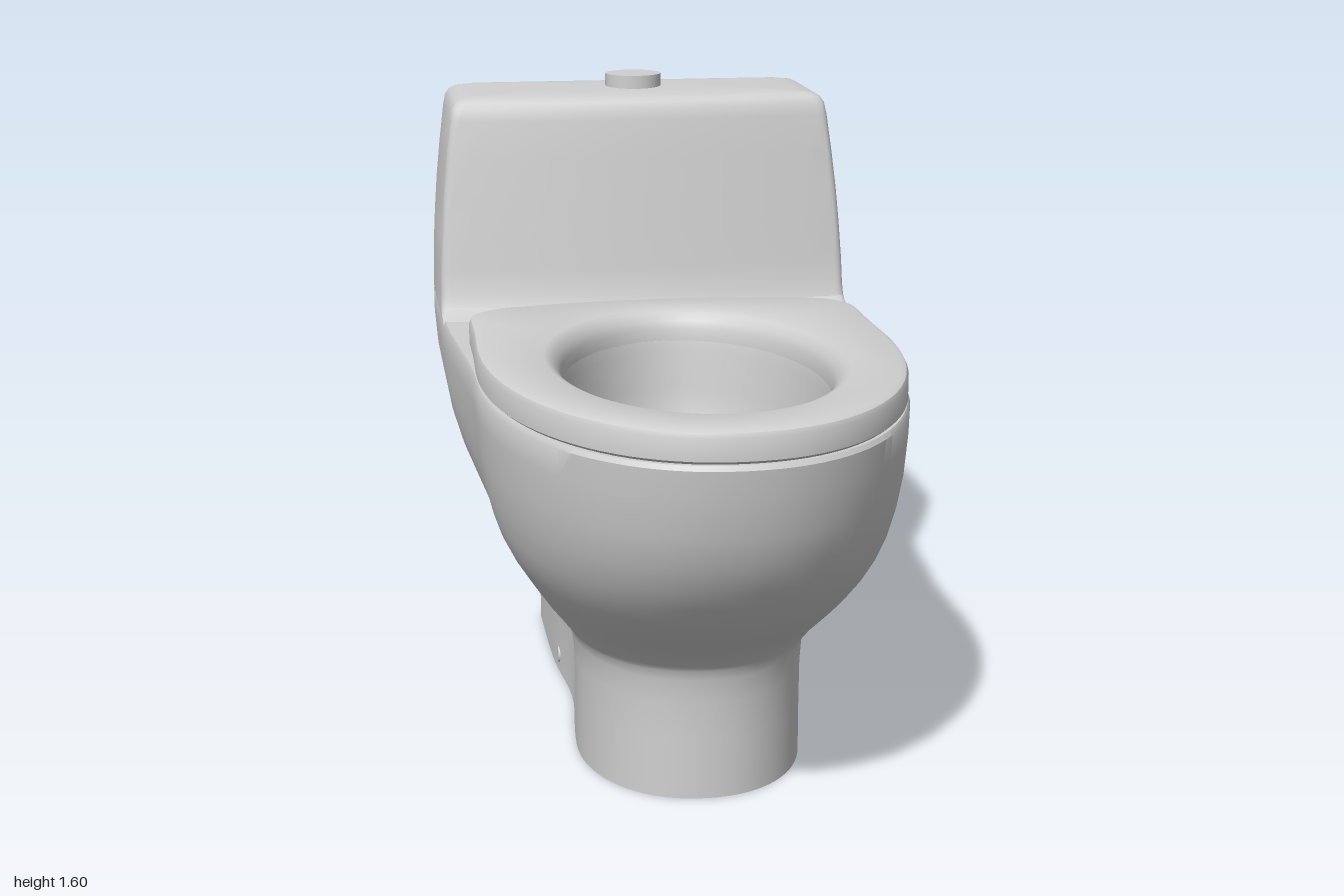
import * as THREE from 'three';
import { toCreasedNormals } from 'three/addons/utils/BufferGeometryUtils.js';

const ceramic = new THREE.MeshStandardMaterial({ color: 0xd0d0d0 });
ceramic.name = 'ceramic';

// Mirror a half outline (front centre -> +x side -> back centre) into a full ring
const mirror = (half) => half.concat(half.slice(1, -1).reverse().map(([x, z]) => [-x, z]));

// Plan outline: full rounded nose, straight sides, rounded back corners
function plan({ w, wf = w, f, b, r = 0.025, pinch = 0, bow = 0, zc = 0.18 }) {
  const half = [];
  for (let k = 0; k <= 24; k++) {
    const a = (k / 24) * Math.PI / 2;
    const c = k < 24 ? Math.cos(a) : 0;
    half.push([wf * Math.sin(a) ** 0.94, zc + (f - zc) * c ** 0.94]);
  }
  for (let k = 1; k <= 18; k++) {
    const u = k / 18;
    half.push([THREE.MathUtils.lerp(wf, w, THREE.MathUtils.smoothstep(u * 1.6, 0, 1)), zc + (b + r - zc) * u]);
  }
  for (let k = 1; k <= 6; k++) {
    const a = (k / 6) * Math.PI / 2;
    half.push([w - r + r * Math.cos(a), b + r - r * Math.sin(a)]);
  }
  for (let k = 1; k <= 8; k++) {
    const x = (w - r) * (1 - k / 8);
    half.push([x, b - bow * (1 - (x / (w - r)) ** 2)]);
  }
  // waist in the pedestal sides
  for (const p of half) if (p[1] < 0.4) p[0] -= pinch * Math.exp(-(((p[1] + 0.13) / 0.2) ** 2)) * Math.sign(p[0]);
  return mirror(half);
}

// Tank outline: front bowed forward, all corners rounded
function tankPlan(w, f, b, r = 0.025) {
  const half = [];
  for (let k = 0; k <= 10; k++) {
    const x = (w - r) * k / 10;
    half.push([x, f - 0.04 * (k / 10) ** 2]);
  }
  for (let k = 1; k <= 5; k++) {
    const a = (k / 5) * Math.PI / 2;
    half.push([w - r + r * Math.sin(a), f - 0.04 - r + r * Math.cos(a)]);
  }
  for (let k = 0; k <= 5; k++) {
    const a = (k / 5) * Math.PI / 2;
    half.push([w - r + r * Math.cos(a), b + r - r * Math.sin(a)]);
  }
  half.push([(w - r) / 2, b], [0, b]);
  return mirror(half);
}

// Ellipse whose points line up with those of another ring
const ellipse = (ref, cz, a, b) => ref.map(([x, z]) => {
  const t = Math.atan2(x, z - cz);
  const k = 1 / Math.hypot(Math.sin(t) / a, Math.cos(t) / b);
  return [k * Math.sin(t), cz + k * Math.cos(t)];
});

// Skin a list of [y, ring] sections
function loft(name, sections, crease = 0.6) {
  const n = sections[0][1].length, pos = [], idx = [];
  for (const [y, ring] of sections) for (const [x, z] of ring) pos.push(x, y, z);
  for (let i = 0; i < sections.length - 1; i++) {
    for (let j = 0; j < n; j++) {
      const a = i * n + j, b = i * n + (j + 1) % n;
      idx.push(a, b, b + n, a, b + n, a + n);
    }
  }
  const g = new THREE.BufferGeometry();
  g.setAttribute('position', new THREE.Float32BufferAttribute(pos, 3));
  g.setIndex(idx);
  const mesh = new THREE.Mesh(toCreasedNormals(g, crease), ceramic);
  mesh.name = name;
  return mesh;
}

// Outlet, pedestal, bowl shell, top deck, bowl interior and drain as one skin
function body() {
  // y, back half width, front half width, front z, back z, back corner radius, pinch
  const rows = [
    [0, 0.285, 0.285, 0.55, -0.79, 0.02, 0.025],
    [0.15, 0.285, 0.285, 0.55, -0.797, 0.02, 0.035],
    [0.25, 0.286, 0.286, 0.55, -0.805, 0.022, 0.028],
    [0.31, 0.292, 0.29, 0.556, -0.822, 0.03, 0.01],
    [0.335, 0.305, 0.298, 0.562, -0.855, 0.05, 0],
    [0.345, 0.312, 0.305, 0.568, -0.9, 0.08, 0],
    [0.352, 0.32, 0.31, 0.574, -0.965, 0.14, 0],
    [0.365, 0.33, 0.32, 0.585, -0.993, 0.13, 0],
    [0.385, 0.345, 0.335, 0.603, -1, 0.1, 0],
    [0.42, 0.372, 0.362, 0.65, -1, 0.07, 0],
    [0.46, 0.403, 0.388, 0.71, -1, 0.05, 0],
    [0.5, 0.434, 0.414, 0.763, -1, 0.04, 0],
    [0.55, 0.47, 0.445, 0.818, -1, 0.03, 0],
    [0.6, 0.501, 0.47, 0.862, -1, 0.025, 0],
    [0.65, 0.522, 0.487, 0.9, -1, 0.025, 0],
    [0.72, 0.543, 0.503, 0.94, -1, 0.025, 0],
    [0.8, 0.557, 0.515, 0.969, -1, 0.025, 0],
    [0.9, 0.565, 0.522, 0.99, -1, 0.025, 0],
    [0.965, 0.565, 0.523, 1, -1, 0.025, 0],
    [0.976, 0.56, 0.517, 0.993, -1, 0.025, 0],
  ];
  const outer = rows.map(([y, w, wf, f, b, r, pinch]) => [y, plan({ w, wf, f, b, r, pinch })]);
  const ref = outer[outer.length - 1][1];
  const rings = (list) => list.map(([y, cz, a, b]) => [y, ellipse(ref, cz, a, b)]);
  // y, centre z, half width, half length
  const outlet = rings([[0.12, 0.08, 0.001, 0.001], [0.12, 0.08, 0.05, 0.05], [0, 0.08, 0.05, 0.05]]);
  const inner = rings([
    [0.976, 0.335, 0.33, 0.495], [0.95, 0.335, 0.325, 0.49], [0.85, 0.335, 0.318, 0.482],
    [0.75, 0.31, 0.295, 0.44], [0.67, 0.27, 0.26, 0.36], [0.6, 0.23, 0.22, 0.27],
    [0.56, 0.19, 0.18, 0.21], [0.54, 0.12, 0.12, 0.13], [0.53, 0.08, 0.08, 0.08],
    [0.51, 0.08, 0.06, 0.06], [0.42, 0.08, 0.055, 0.055], [0.42, 0.08, 0.001, 0.001],
  ]);
  return loft('bowlAndPedestal', [...outlet, ...outer, ...inner]);
}

// Seat ring with softened edges and a sloped inner lip
function seat() {
  const edge = (s) => plan({ w: 0.512 - s, wf: 0.517 - s, f: 1 - s, b: -0.29 + s, r: 0.12, bow: 0.04 });
  const ref = edge(0);
  const outer = [[0.979, 0.008], [0.986, 0], [1.038, 0], [1.049, 0.005], [1.055, 0.018]].map(([y, s]) => [y, edge(s)]);
  const inner = [[1.055, 0.362, 0.528], [1.048, 0.347, 0.512], [1.03, 0.331, 0.496], [1.01, 0.322, 0.487], [0.979, 0.32, 0.485]]
    .map(([y, a, b]) => [y, ellipse(ref, 0.335, a, b)]);
  return loft('seat', [...outer, ...inner, outer[0]]);
}

// Tank with a coved foot, sloping front and gently crowned top
function tank() {
  // y, half width, front z
  const rows = [
    [0.965, 0.564, -0.4], [0.978, 0.565, -0.43], [0.985, 0.565, -0.465], [1.0, 0.565, -0.49],
    [1.03, 0.564, -0.502], [1.1, 0.562, -0.512], [1.2, 0.556, -0.525], [1.3, 0.548, -0.538],
    [1.4, 0.537, -0.551], [1.5, 0.524, -0.564], [1.53, 0.518, -0.57], [1.547, 0.507, -0.579],
    [1.556, 0.49, -0.593],
  ];
  const sections = rows.map(([y, w, f]) => [y, tankPlan(w, f, y > 1.54 ? -1 + (y - 1.54) : -1)]);
  const rim = sections[sections.length - 1][1];
  for (const [y, s] of [[1.561, 0.92], [1.566, 0.65], [1.569, 0.3], [1.57, 0]]) {
    sections.push([y, rim.map(([x, z]) => [x * s, -0.8 + (z + 0.8) * s])]);
  }
  return loft('tank', sections);
}

// Straight round part
function disc(name, r, h, x, y, z) {
  const mesh = new THREE.Mesh(new THREE.CylinderGeometry(r, r, h, 32), ceramic);
  mesh.name = name;
  mesh.position.set(x, y, z);
  return mesh;
}

export function createModel() {
  const model = new THREE.Group();
  model.name = 'toilet';
  model.add(body(), seat(), tank());

  // flush button
  model.add(disc('flushButton', 0.078, 0.045, 0, 1.581, -0.78));

  // floor bolt caps on both sides
  for (const s of [1, -1]) {
    const cap = disc('boltCap', 0.022, 0.02, s * 0.268, 0.045, -0.34);
    cap.rotation.z = Math.PI / 2;
    model.add(cap);
  }
  return model;
}
